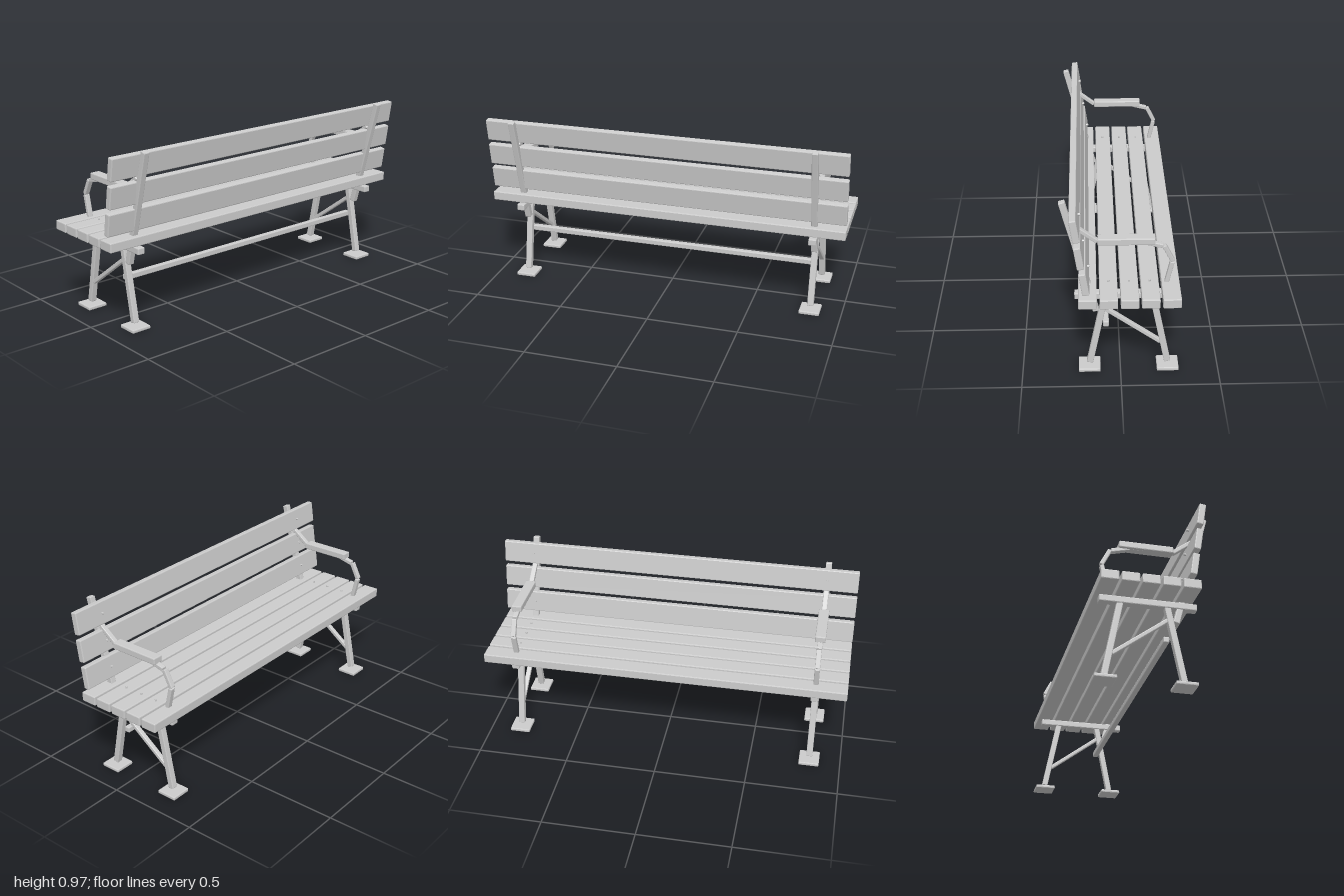
import * as THREE from 'three';
import { RoundedBoxGeometry } from 'three/addons/geometries/RoundedBoxGeometry.js';

const material = new THREE.MeshStandardMaterial({ color: 0xcccccc, flatShading: true });
const SIDE_X = 0.829;

// Box with slightly eased edges, centred at (x, y, z)
function block(parent, name, w, h, d, x, y, z, tilt = 0, bevel = 0.005) {
  const mesh = new THREE.Mesh(new RoundedBoxGeometry(w, h, d, 1, bevel), material);
  mesh.name = name;
  mesh.position.set(x, y, z);
  mesh.rotation.x = tilt;
  parent.add(mesh);
  return mesh;
}

// Straight bar in the side plane between two [z, y] points
function bar(parent, name, a, b, w, t) {
  const dz = b[0] - a[0], dy = b[1] - a[1];
  return block(parent, name, w, Math.hypot(dz, dy), t, 0,
    (a[1] + b[1]) / 2, (a[0] + b[0]) / 2, Math.atan2(dz, dy), 0.004);
}

// Small round bolt head
function bolt(parent, name, y, z, tilt) {
  const mesh = new THREE.Mesh(new THREE.CylinderGeometry(0.006, 0.006, 0.016, 10), material);
  mesh.name = name;
  mesh.position.set(0, y, z);
  mesh.rotation.x = tilt;
  parent.add(mesh);
}

const SEAT_Z = [0.164, 0.061, -0.042, -0.144, -0.247];
const BACK = [[0.222, 0.896], [0.203, 0.749], [0.18, 0.604]];
const BACK_TILT = 0.15;

// One complete end frame, built around x = 0
function endFrame() {
  const g = new THREE.Group();

  // Seat support and back post
  block(g, 'seatSupport', 0.042, 0.036, 0.499, 0, 0.443, -0.02);
  bar(g, 'backPost', [0.122, 0.349], [0.283, 0.969], 0.033, 0.032);

  // Splayed legs, feet and diagonal brace
  bar(g, 'rearLeg', [0.156, 0.033], [0.077, 0.435], 0.034, 0.032);
  bar(g, 'frontLeg', [-0.241, 0.033], [-0.161, 0.435], 0.034, 0.032);
  block(g, 'rearFoot', 0.112, 0.019, 0.112, 0, 0.0115, 0.158);
  block(g, 'frontFoot', 0.112, 0.019, 0.112, 0, 0.0115, -0.242);
  bar(g, 'diagonalBrace', [0.1, 0.376], [-0.205, 0.151], 0.026, 0.021);

  // Armrest: bent metal strip with a pad on top
  const strip = [
    [[0.215, 0.826], [0.113, 0.75]],
    [[0.113, 0.748], [-0.118, 0.746]],
    [[-0.115, 0.743], [-0.207, 0.72]],
    [[-0.212, 0.722], [-0.257, 0.633]],
    [[-0.254, 0.63], [-0.225, 0.5]],
  ];
  for (const [a, b] of strip) bar(g, 'armStrip', a, b, 0.028, 0.022);
  block(g, 'armPad', 0.056, 0.036, 0.281, 0, 0.755, -0.028);

  // Bolts through seat and back slats
  for (const z of SEAT_Z.slice(1, 4)) bolt(g, 'seatBolt', 0.517, z, 0);
  for (const [z, y] of BACK) bolt(g, 'backBolt', y + 0.003, z - 0.022, Math.PI / 2 + BACK_TILT);
  return g;
}

export function createModel() {
  const bench = new THREE.Group();
  bench.name = 'bench';

  // Seat and back slats
  for (const z of SEAT_Z) block(bench, 'seatSlat', 2, 0.051, 0.09, 0, 0.49, z);
  for (const [z, y] of BACK) block(bench, 'backSlat', 2, 0.121, 0.035, 0, y, z, BACK_TILT);

  // End frames
  for (const side of [-1, 1]) {
    const frame = endFrame();
    frame.name = side > 0 ? 'leftFrame' : 'rightFrame';
    frame.position.x = side * SIDE_X;
    bench.add(frame);
  }

  // Stretcher between the rear legs
  block(bench, 'stretcher', 1.66, 0.031, 0.03, 0, 0.259, 0.073);
  return bench;
}
